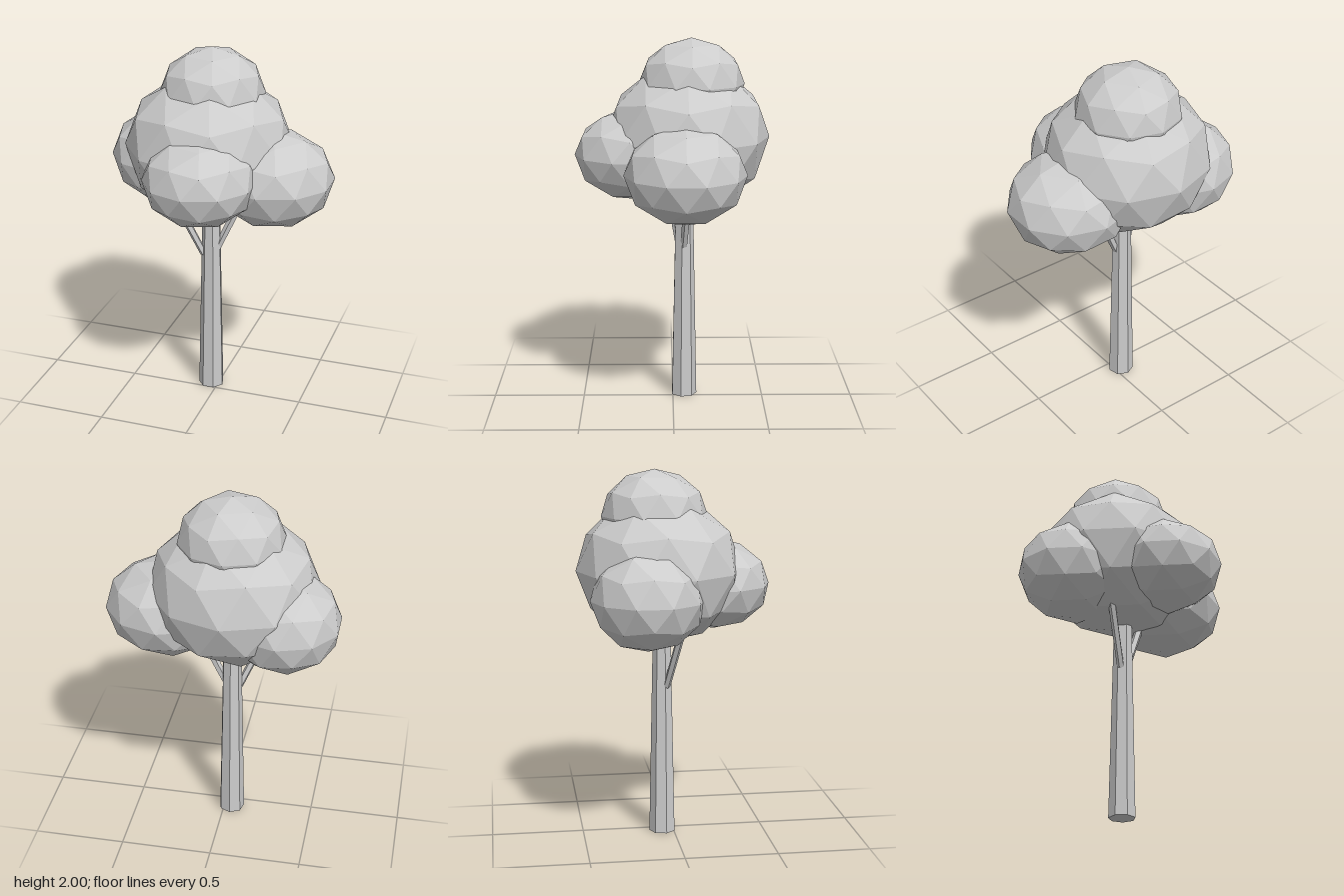
import * as THREE from 'three';

const grey = new THREE.MeshStandardMaterial({ color: 0xcccccc, flatShading: true });
grey.name = 'light grey';

// Faceted leaf clump: an icosphere standing on one corner, stretched to its radii
function clump(name, center, radii) {
  const geo = new THREE.IcosahedronGeometry(1, 1);
  geo.rotateZ(-Math.atan(2 / (1 + Math.sqrt(5))));
  geo.scale(...radii);
  geo.computeVertexNormals();
  const mesh = new THREE.Mesh(geo, grey);
  mesh.position.set(...center);
  mesh.name = name;
  return mesh;
}

// Tapered limb between two points
function limb(name, from, to, r0, r1, sides, turn = 0) {
  const a = new THREE.Vector3(...from);
  const b = new THREE.Vector3(...to);
  const dir = b.clone().sub(a);
  const geo = new THREE.CylinderGeometry(r1, r0, dir.length(), sides);
  geo.rotateY(turn);
  const mesh = new THREE.Mesh(geo, grey);
  mesh.position.copy(a).add(b).multiplyScalar(0.5);
  mesh.quaternion.setFromUnitVectors(new THREE.Vector3(0, 1, 0), dir.normalize());
  mesh.name = name;
  return mesh;
}

export function createModel() {
  const tree = new THREE.Group();
  tree.name = 'tree';

  // Seven-sided trunk and two side branches
  tree.add(
    limb('trunk', [-0.042, 0, -0.061], [-0.042, 1.2, -0.061], 0.072, 0.048, 7, Math.PI),
    limb('leftBranch', [-0.08, 0.83, -0.04], [-0.265, 1.25, 0.04], 0.02, 0.022, 5),
    limb('rightBranch', [-0.01, 0.86, -0.06], [0.15, 1.22, -0.085], 0.02, 0.024, 5)
  );

  // Five overlapping leaf clumps
  tree.add(
    clump('topFoliage', [-0.048, 1.755, -0.1], [0.282, 0.245, 0.285]),
    clump('middleFoliage', [-0.058, 1.468, -0.078], [0.456, 0.4, 0.445]),
    clump('leftFoliage', [-0.33, 1.35, -0.17], [0.31, 0.27, 0.3]),
    clump('rightFoliage', [0.3, 1.323, -0.063], [0.336, 0.262, 0.323]),
    clump('frontFoliage', [-0.01, 1.378, 0.225], [0.305, 0.245, 0.305])
  );

  return tree;
}
